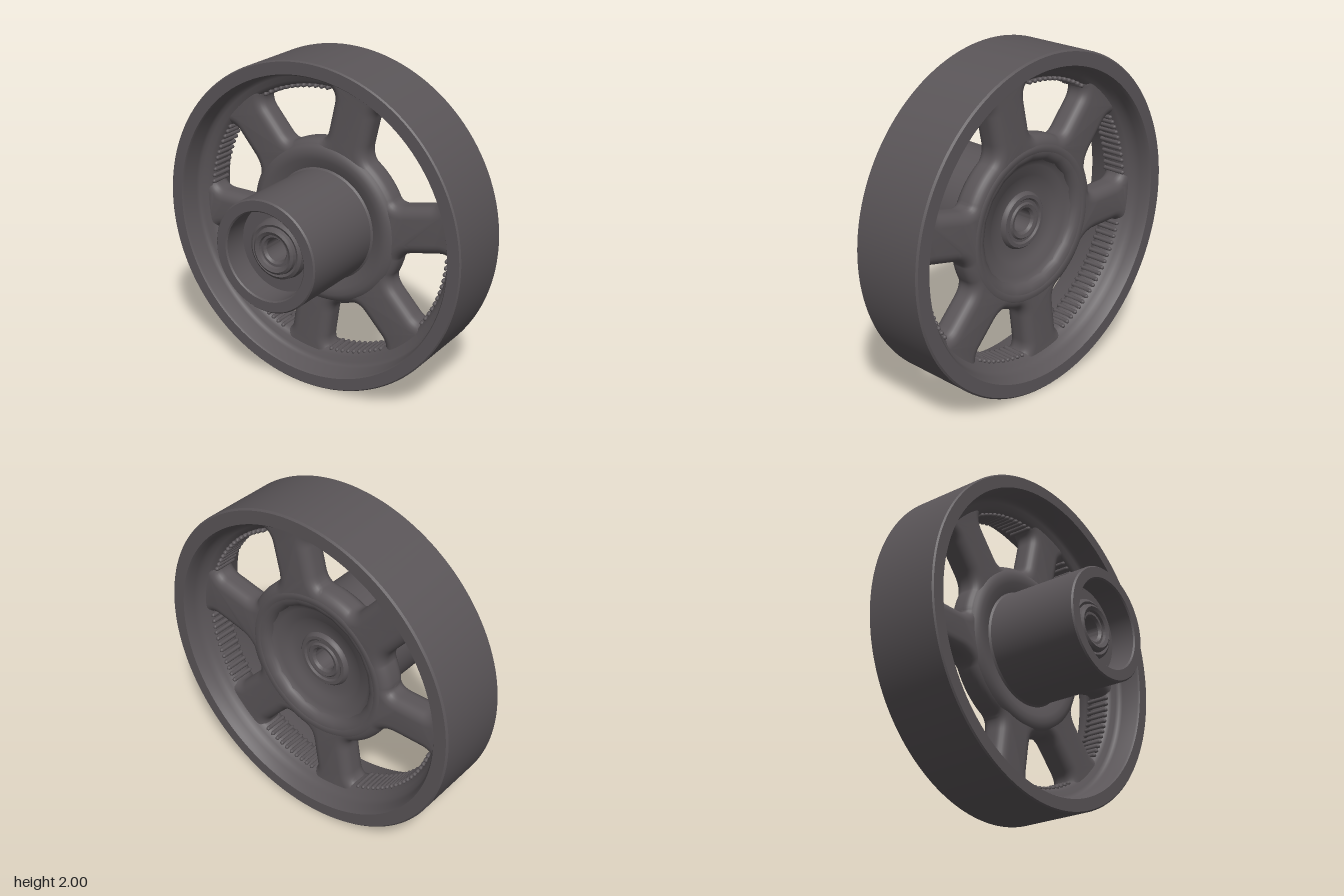
import * as THREE from 'three';
import { mergeGeometries, toCreasedNormals } from 'three/addons/utils/BufferGeometryUtils.js';

const HUB_R = 0.513;
const RING_R = 0.82;
// each spoke: angle in degrees, half width, sideways offset from the axis
const SPOKES = [
  [13, 0.138, -0.045], [77.5, 0.132, -0.027], [130.5, 0.135, 0.04],
  [180, 0.12, 0.084], [262, 0.13, 0], [313.4, 0.138, 0],
].map(([deg, half, offset]) => ({ angle: THREE.MathUtils.degToRad(deg), half, offset }));

// turned part around the z axis from [radius, z] points
function turned(points, segments) {
  const geo = new THREE.LatheGeometry(points.map(([r, z]) => new THREE.Vector2(r, z)), segments);
  geo.rotateX(Math.PI / 2);
  return toCreasedNormals(geo, 0.65);
}

// point along a spoke: u outward, v sideways (counter-clockwise)
function onSpoke({ angle, offset }, u, v) {
  const c = Math.cos(angle), s = Math.sin(angle), w = v + offset;
  return [u * c - w * s, u * s + w * c];
}

// six spokes with flared tips, filleted into a round centre
function webGeometry() {
  const shape = new THREE.Shape();
  SPOKES.forEach((spoke, i) => {
    const next = SPOKES[(i + 1) % SPOKES.length];
    const turn = i === SPOKES.length - 1 ? Math.PI * 2 : 0;
    const h = spoke.half, n = next.half;
    if (i === 0) shape.moveTo(...onSpoke(spoke, 0.93, -h - 0.06));
    shape.lineTo(...onSpoke(spoke, 0.93, h + 0.06));
    shape.lineTo(...onSpoke(spoke, 0.815, h + 0.05));
    shape.quadraticCurveTo(...onSpoke(spoke, 0.795, h), ...onSpoke(spoke, 0.735, h));
    shape.lineTo(...onSpoke(spoke, 0.57, h));
    const start = spoke.angle + Math.asin((h + spoke.offset) / HUB_R) + 0.09;
    const end = next.angle + turn - Math.asin((n - next.offset) / HUB_R) - 0.09;
    shape.quadraticCurveTo(...onSpoke(spoke, 0.5, h),
      HUB_R * Math.cos(start), HUB_R * Math.sin(start));
    shape.absarc(0, 0, HUB_R, start, end, false);
    shape.quadraticCurveTo(...onSpoke(next, 0.5, -n), ...onSpoke(next, 0.57, -n));
    shape.lineTo(...onSpoke(next, 0.735, -n));
    shape.quadraticCurveTo(...onSpoke(next, 0.795, -n), ...onSpoke(next, 0.815, -n - 0.05));
    if (!turn) shape.lineTo(...onSpoke(next, 0.93, -n - 0.06));
  });
  const hole = new THREE.Path();
  hole.absarc(0, 0, 0.36, 0, Math.PI * 2, true);
  shape.holes.push(hole);
  const geo = new THREE.ExtrudeGeometry(shape, {
    depth: 0.05, bevelEnabled: true, bevelThickness: 0.06, bevelSize: 0.065,
    bevelOffset: -0.065, bevelSegments: 6, curveSegments: 10,
  });
  geo.translate(0, 0, -0.245);
  return toCreasedNormals(geo, 0.7);
}

// fine ribs on the inside of the rim, between the spokes
function ribGeometry() {
  const ribs = [];
  const count = 126;
  for (let i = 0; i < count; i++) {
    const a = (i / count) * Math.PI * 2;
    const hidden = SPOKES.some(({ angle, half, offset }) => {
      const d = a - angle - offset / RING_R;
      return Math.abs(Math.atan2(Math.sin(d), Math.cos(d))) < half / RING_R + 0.04;
    });
    if (hidden) continue;
    const rib = new THREE.CapsuleGeometry(0.013, 0.13, 3, 8);
    rib.rotateX(Math.PI / 2);
    rib.translate(RING_R * Math.cos(a), RING_R * Math.sin(a), -0.22);
    ribs.push(rib);
  }
  return mergeGeometries(ribs);
}

export function createModel() {
  const group = new THREE.Group();
  group.name = 'spokedWheel';
  const darkGrey = new THREE.MeshStandardMaterial({ color: 0x5a5558 });
  darkGrey.name = 'darkGrey';

  const add = (name, geometry, y) => {
    const mesh = new THREE.Mesh(geometry, darkGrey);
    mesh.name = name;
    mesh.position.y = y;
    group.add(mesh);
  };

  // broad rim: raised lips on both sides of an inner ring level with the spokes
  add('rim', turned([
    [RING_R, -0.26], [0.83, -0.285], [0.855, -0.307], [0.877, -0.33], [0.89, -0.365],
    [0.898, -0.41], [0.912, -0.43], [0.99, -0.43], [1, -0.42], [1, 0.025], [0.992, 0.033],
    [0.92, 0.033], [0.912, 0.02], [0.908, -0.09], [0.9, -0.11], [0.88, -0.123], [0.85, -0.133],
    [0.83, -0.148], [RING_R, -0.175], [RING_R, -0.26],
  ], 128), 1);

  add('spokes', webGeometry(), 0.99);
  add('rimRibs', ribGeometry(), 0.995);

  // hub: dished back, rounded collar, long front sleeve with a shallow bore and inner boss
  add('hub', turned([
    [0.068, -0.22], [0.08, -0.235], [0.1, -0.24], [0.11, -0.23], [0.125, -0.23], [0.135, -0.24],
    [0.155, -0.24], [0.165, -0.23], [0.17, -0.215], [0.25, -0.22], [0.27, -0.235], [0.33, -0.245],
    [0.36, -0.262], [0.39, -0.288], [0.42, -0.306], [0.45, -0.309], [0.48, -0.293], [0.503, -0.262],
    [0.512, -0.23], [0.512, -0.2], [0.5, -0.165], [0.475, -0.133], [0.44, -0.12],
    [0.4, -0.125], [0.345, -0.145], [0.335, -0.135], [0.335, 0.423], [0.327, 0.432],
    [0.268, 0.432], [0.26, 0.424], [0.26, 0.28], [0.18, 0.28], [0.172, 0.32], [0.155, 0.332],
    [0.14, 0.325], [0.135, 0.345], [0.12, 0.355], [0.1, 0.345], [0.095, 0.33], [0.08, 0.33],
    [0.068, 0.315], [0.068, -0.22],
  ], 96), 0.99);

  return group;
}
